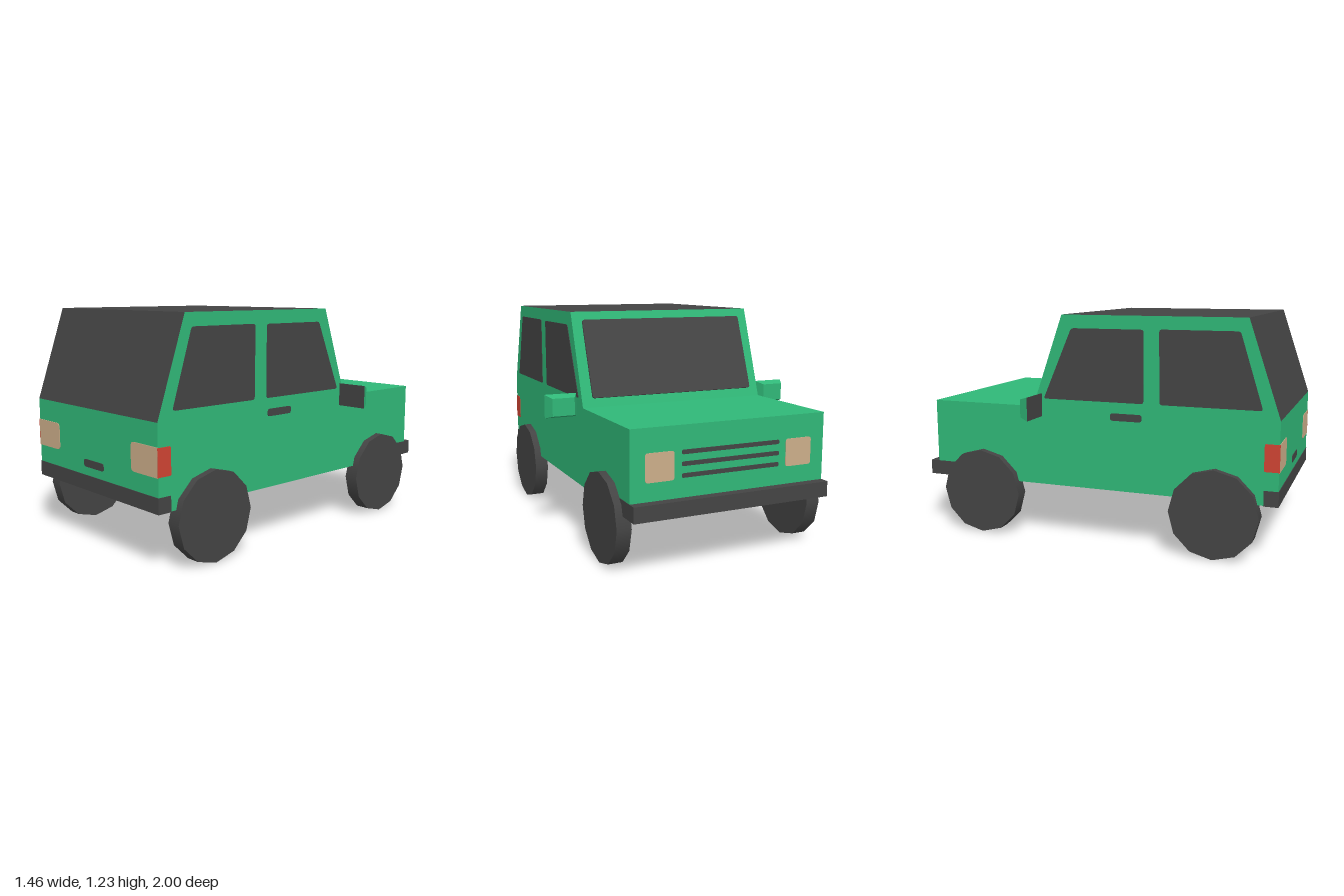
import * as THREE from 'three';

const paint = (name, color, extra = {}) => {
  const m = new THREE.MeshStandardMaterial({ color, ...extra });
  m.name = name;
  return m;
};

// Polygon outline whose corners are rounded; a point is [x, y] or [x, y, radius].
function roundedShape(points, radius) {
  const shape = new THREE.Shape();
  const n = points.length;
  points.forEach((p, i) => {
    const corner = new THREE.Vector2(p[0], p[1]);
    const r = p[2] ?? radius;
    const towards = (q) => new THREE.Vector2(q[0], q[1]).sub(corner).setLength(r).add(corner);
    const a = towards(points[(i + n - 1) % n]);
    const b = towards(points[(i + 1) % n]);
    if (i === 0) shape.moveTo(a.x, a.y);
    else shape.lineTo(a.x, a.y);
    if (r > 0) shape.quadraticCurveTo(corner.x, corner.y, b.x, b.y);
  });
  shape.closePath();
  return shape;
}

const rect = (x0, x1, y0, y1) => [[x0, y0], [x1, y0], [x1, y1], [x0, y1]];

export function createModel() {
  const car = new THREE.Group();
  car.name = 'car';
  const green = paint('green paint', 0x30b878);
  const dark = paint('dark trim', 0x444444);
  const lamp = paint('beige lamp', 0xccae8a);
  const red = paint('red lamp', 0xd04433);

  const HALF = 0.54, REAR = 0.997, NOSE = -0.95;

  function add(name, geometry, material, parent = car) {
    const mesh = new THREE.Mesh(geometry, material);
    mesh.name = name;
    parent.add(mesh);
    return mesh;
  }
  function plate(name, material, points, radius, depth = 0.003) {
    const geometry = new THREE.ExtrudeGeometry(roundedShape(points, radius),
      { depth, bevelEnabled: false, curveSegments: 4 });
    return add(name, geometry, material);
  }
  // Plate on a flank, with points given as [z, y].
  function sidePlate(name, material, points, radius, side) {
    const mesh = plate(name, material, points.map(([z, y, r]) => [-side * z, y, r]), radius);
    mesh.rotation.y = side * Math.PI / 2;
    mesh.position.x = side * HALF;
  }

  // Body shell: side profile [z, y, is the wall to the next point dark]
  const profile = [
    [REAR, 0.305, 0], [REAR, 0.735, 1], [0.83, 1.23, 1], [-0.16, 1.23, 0],
    [-0.335, 0.735, 0], [NOSE, 0.735, 0], [NOSE, 0.305, 1],
  ];
  const positions = [];
  const shell = new THREE.BufferGeometry();
  profile.forEach(([z0, y0, shade], i) => {
    const [z1, y1] = profile[(i + 1) % profile.length];
    const a = [-HALF, y0, z0], b = [HALF, y0, z0], c = [HALF, y1, z1], d = [-HALF, y1, z1];
    positions.push(...a, ...b, ...c, ...a, ...c, ...d);
    shell.addGroup(i * 6, 6, shade);
  });
  shell.setAttribute('position', new THREE.Float32BufferAttribute(positions, 3));
  shell.computeVertexNormals();
  add('bodyShell', shell, [green, dark]);

  // Flanks with windows, handles and tail lamps
  for (const side of [1, -1]) {
    const label = side > 0 ? 'left' : 'right';
    const outline = new THREE.Shape(profile.map(([z, y]) => new THREE.Vector2(-side * z, y)));
    const flank = add(label + 'Flank', new THREE.ShapeGeometry(outline), green);
    flank.rotation.y = side * Math.PI / 2;
    flank.position.x = side * HALF;

    sidePlate(label + 'RearWindow', dark,
      [[0.91, 0.78], [0.382, 0.78], [0.378, 1.163], [0.79, 1.163]], 0.015, side);
    sidePlate(label + 'FrontWindow', dark,
      [[0.295, 0.78], [-0.27, 0.78], [-0.105, 1.16], [0.295, 1.16]], 0.015, side);
    sidePlate(label + 'DoorHandle', dark, rect(0.112, 0.285, 0.683, 0.722), 0.014, side);
    sidePlate(label + 'SideTailLamp', red,
      [[0.923, 0.478, 0.008], [1, 0.478, 0], [1, 0.618, 0], [0.923, 0.618, 0.008]], 0, side);

    // Rear lamp wrapping to the corner
    plate(label + 'RearLamp', lamp, [
      [side * 0.33, 0.475, 0.025], [side * HALF, 0.475, 0],
      [side * HALF, 0.62, 0], [side * 0.33, 0.62, 0.025],
    ], 0).position.z = REAR;

    // Headlamp
    const head = plate(label + 'Headlamp', lamp,
      rect(...[side * 0.312, side * 0.463].sort((p, q) => p - q), 0.473, 0.615), 0.015);
    head.rotation.y = Math.PI;
    head.position.z = NOSE;

    // Door mirror: a box tapering forwards, dark on the glass side
    const mirror = new THREE.BoxGeometry(0.175, 0.125, 0.053);
    const p = mirror.attributes.position;
    for (let i = 0; i < p.count; i++) {
      if (p.getZ(i) < 0) p.setXY(i, p.getX(i) * 0.69, p.getY(i) * 0.75);
    }
    const flat = mirror.toNonIndexed();
    mirror.groups.forEach((g) => flat.addGroup(g.start, g.count, g.materialIndex));
    flat.computeVertexNormals();
    add(label + 'DoorMirror', flat, [green, green, green, green, dark, green])
      .position.set(side * 0.643, 0.748, -0.302);

    // Wheels
    for (const [end, z] of [['Rear', 0.678], ['Front', -0.652]]) {
      const wheel = new THREE.CylinderGeometry(0.235, 0.235, 0.077, 12);
      wheel.rotateZ(Math.PI / 2);
      add(label + end + 'Wheel', wheel, dark).position.set(side * 0.541, 0.238, z);
    }
  }

  // Windscreen, leaning out slightly towards its lower edge
  const foot = { y: 0.782, z: -0.326 }, top = { y: 1.185, z: -0.174 };
  const rise = top.y - foot.y, run = top.z - foot.z;
  const screen = plate('windscreen', dark, rect(-0.483, 0.483, 0, Math.hypot(rise, run)), 0.015, 0.009);
  screen.rotation.set(-Math.atan2(run, rise), Math.PI, 0, 'YXZ');
  screen.position.set(0, foot.y, foot.z);

  // Grille bars
  for (const y of [0.49, 0.547, 0.604]) {
    const bar = plate('grilleBar', dark, rect(-0.272, 0.272, y - 0.011, y + 0.011), 0.01);
    bar.rotation.y = Math.PI;
    bar.position.z = NOSE;
  }

  // Tailgate handle
  plate('tailgateHandle', dark, rect(-0.09, 0.09, 0.427, 0.467), 0.015).position.z = REAR;

  // Bumpers
  for (const [name, z0, z1] of [['frontBumper', -1, -0.835], ['rearBumper', 0.925, 1]]) {
    add(name, new THREE.BoxGeometry(2 * HALF + 0.004, 0.08, z1 - z0), dark)
      .position.set(0, 0.342, (z0 + z1) / 2);
  }
  return car;
}
